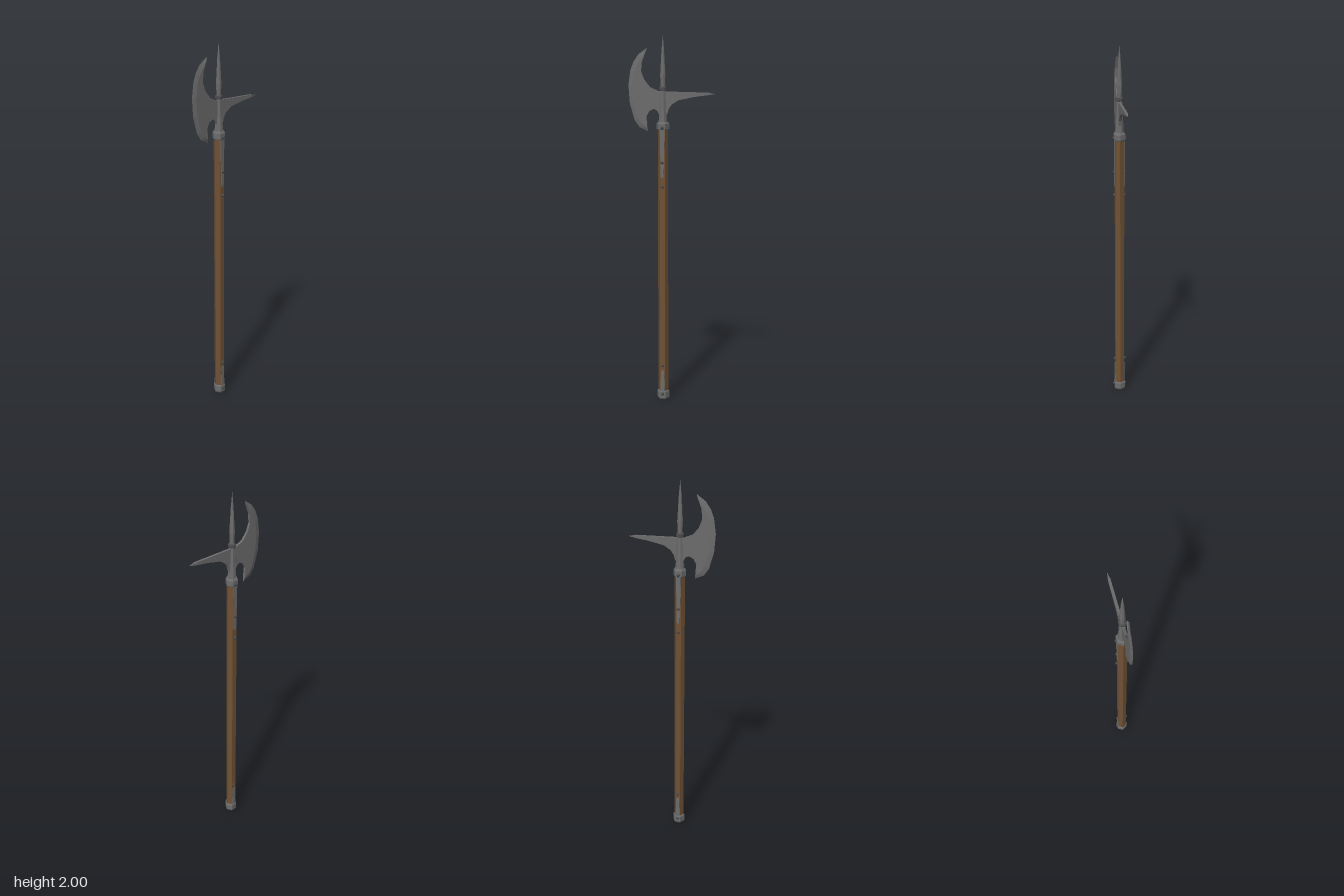
import * as THREE from 'three';

const steel = new THREE.MeshStandardMaterial({ color: 0x6c6c6c });
steel.name = 'steel';
const wood = new THREE.MeshStandardMaterial({ color: 0x6f5134 });
wood.name = 'wood';
const darkSteel = new THREE.MeshStandardMaterial({ color: 0x4c4c4c });
darkSteel.name = 'dark steel';

const AXIS = -0.048; // x of the pole
const T = 0.0065;    // half thickness of the blade plate

// faceted normals
function flat(geometry) {
  const g = geometry.index ? geometry.toNonIndexed() : geometry;
  g.computeVertexNormals();
  return g;
}

// faceted solid of revolution around the pole axis, points are [radius, y] upwards
function turned(name, points, sides, material) {
  const g = new THREE.LatheGeometry(points.map(([r, y]) => new THREE.Vector2(r, y)), sides);
  g.rotateY(Math.PI / sides);
  const mesh = new THREE.Mesh(flat(g), material);
  mesh.name = name;
  mesh.position.x = AXIS;
  return mesh;
}

// sharpened wedge between a thin outer edge and the plate's inner line
function wedge(name, outer, inner) {
  const v = [];
  const tri = (...pts) => pts.forEach((p) => v.push(...p));
  const o = outer.map(([x, y]) => [x, y, 0]);
  const f = inner.map(([x, y]) => [x, y, T]);
  const b = inner.map(([x, y]) => [x, y, -T]);
  const n = o.length - 1;
  for (let i = 0; i < n; i++) {
    tri(o[i], o[i + 1], f[i + 1]);
    tri(o[i], f[i + 1], f[i]);
    tri(o[i], b[i + 1], o[i + 1]);
    tri(o[i], b[i], b[i + 1]);
  }
  tri(o[0], f[0], b[0]);
  tri(o[n], b[n], f[n]);
  const g = new THREE.BufferGeometry();
  g.setAttribute('position', new THREE.Float32BufferAttribute(v, 3));
  g.computeVertexNormals();
  const mesh = new THREE.Mesh(g, steel);
  mesh.name = name;
  return mesh;
}

export function createModel() {
  const model = new THREE.Group();
  model.name = 'halberd';

  // pole, end cap and collar
  model.add(
    turned('shaft', [[0, 0.02], [0.028, 0.02], [0.028, 1.53], [0, 1.53]], 6, wood),
    turned('endCap', [[0, 0.003], [0.028, 0.003], [0.034, 0.012], [0.034, 0.046], [0.029, 0.052], [0, 0.052]], 6, steel),
    turned('collar', [[0, 1.5], [0.03, 1.5], [0.034, 1.507], [0.034, 1.535], [0.028, 1.546], [0, 1.546]], 6, steel),
  );

  // socket, ring and top spike
  model.add(
    turned('socket', [[0.024, 1.54], [0.019, 1.62], [0.014, 1.73]], 8, steel),
    turned('socketRing', [[0.012, 1.708], [0.021, 1.713], [0.021, 1.727], [0.012, 1.732]], 8, darkSteel),
    turned('topSpike', [[0.012, 1.725], [0.015, 1.79], [0.0075, 1.92], [0, 2]], 8, steel),
  );

  // axe edge, and the line where its bevel begins
  const edge = [[-0.132, 1.934], [-0.18, 1.9], [-0.207, 1.862], [-0.224, 1.817], [-0.235, 1.738],
    [-0.228, 1.643], [-0.202, 1.553], [-0.175, 1.516], [-0.128, 1.495]];
  const bevel = [[-0.138, 1.92], [-0.164, 1.88], [-0.185, 1.848], [-0.2, 1.81], [-0.21, 1.738],
    [-0.205, 1.65], [-0.181, 1.565], [-0.16, 1.533], [-0.132, 1.515]];
  const beakEnd = [[0.19, 1.686], [0.193, 1.7]];

  // flat plate forming the axe body and the rear beak
  const outline = [
    ...bevel,
    [-0.134, 1.545], [-0.137, 1.573], [-0.121, 1.602], [-0.096, 1.614], [-0.078, 1.605], [-0.068, 1.585],
    [-0.024, 1.585], [-0.017, 1.612], [0, 1.637], [0.037, 1.66], [0.12, 1.677],
    ...beakEnd,
    [-0.03, 1.706], [-0.07, 1.707], [-0.116, 1.727], [-0.148, 1.766], [-0.165, 1.81], [-0.16, 1.86],
  ];
  const plate = new THREE.ExtrudeGeometry(
    new THREE.Shape(outline.map(([x, y]) => new THREE.Vector2(x, y))),
    { depth: 2 * T, bevelEnabled: false },
  );
  plate.translate(0, 0, -T);
  const head = new THREE.Mesh(flat(plate), steel);
  head.name = 'axeHead';
  const tip = [0.233, 1.692];
  model.add(head, wedge('axeEdge', edge, bevel), wedge('beakTip', [tip, tip], beakEnd));

  // metal straps and rivets on the front and back flats
  const strap = (name, y0, y1, pointY) => {
    const w = 0.013;
    const s = new THREE.Shape([[-w, y0], [w, y0], [w * 0.6, pointY], [-w * 0.6, pointY]]
      .map(([x, y]) => new THREE.Vector2(x, y)));
    s.closePath();
    const g = new THREE.ExtrudeGeometry(s, { depth: 0.004, bevelEnabled: false });
    g.translate(AXIS, 0, 0.0235);
    const mesh = new THREE.Mesh(g, steel);
    mesh.name = name;
    return mesh;
  };
  for (const side of ['front', 'back']) {
    const fittings = new THREE.Group();
    fittings.name = side + 'Fittings';
    fittings.add(strap('upperStrap', 1.505, 0, 1.25), strap('lowerStrap', 0.045, 0, 0.17));
    for (const y of [0.035, 0.2, 1.2, 1.33, 1.515]) {
      const onCap = y < 0.1 || y > 1.5;
      const rivet = new THREE.Mesh(flat(new THREE.SphereGeometry(0.009, 8, 6)), darkSteel);
      rivet.name = 'rivet';
      rivet.position.set(AXIS, y, onCap ? 0.03 : 0.027);
      fittings.add(rivet);
    }
    // turn the back set half around the pole axis
    if (side === 'back') {
      fittings.rotation.y = Math.PI;
      fittings.position.x = 2 * AXIS;
    }
    model.add(fittings);
  }
  return model;
}
